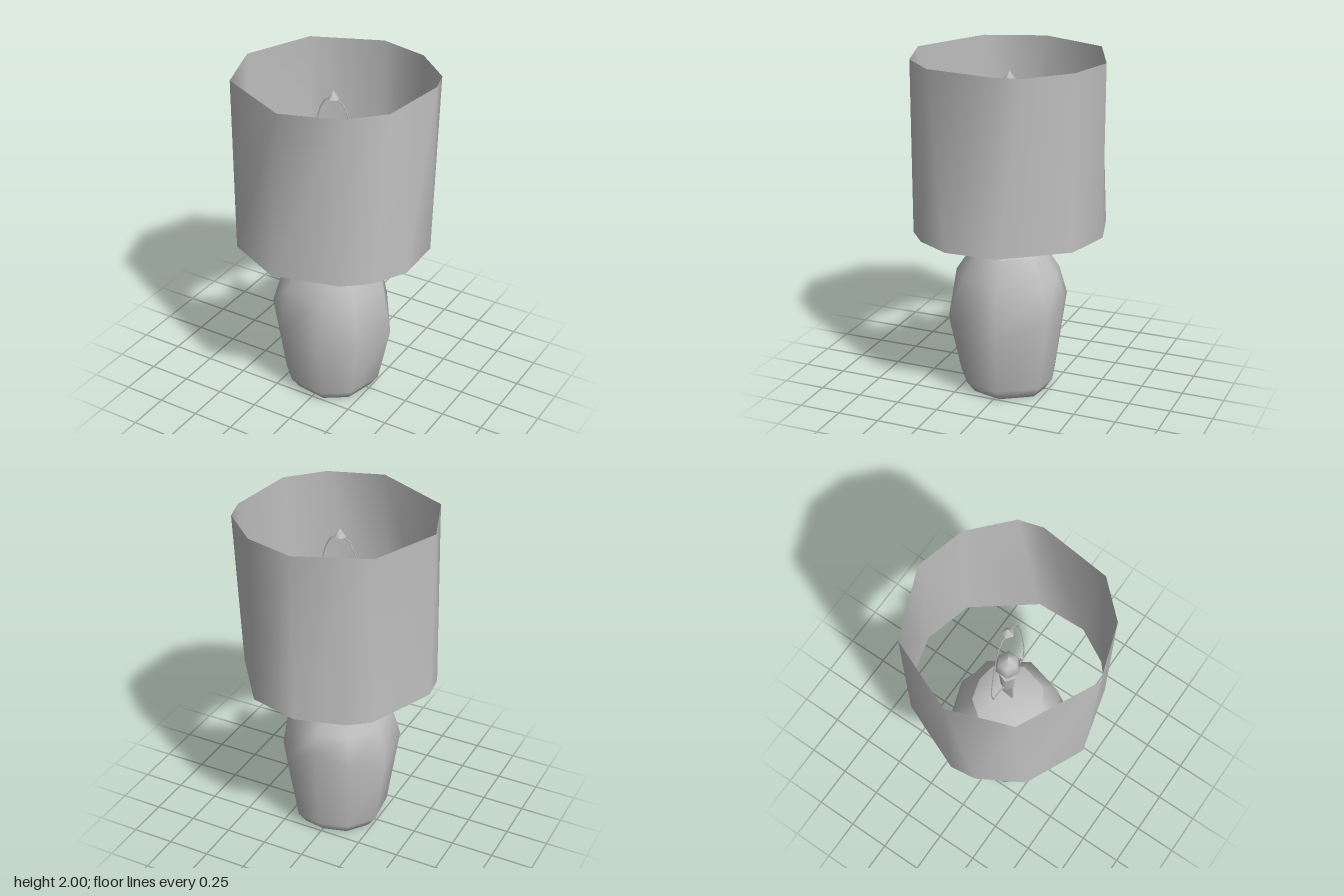
import * as THREE from 'three';
import { mergeVertices } from 'three/addons/utils/BufferGeometryUtils.js';

// Skin a list of equal-length rings (bottom to top, counterclockwise from above)
function loft(rings) {
  const n = rings[0].length, index = [];
  for (let r = 0; r < rings.length - 1; r++) {
    for (let i = 0; i < n; i++) {
      const j = (i + 1) % n;
      const a = r * n + i, b = r * n + j, c = (r + 1) * n + j, d = (r + 1) * n + i;
      index.push(a, b, c, a, c, d);
    }
  }
  const g = new THREE.BufferGeometry();
  g.setAttribute('position', new THREE.Float32BufferAttribute(rings.flat(2), 3));
  g.setIndex(index);
  const merged = mergeVertices(g, 1e-4);
  // drop triangles that collapsed where corners coincide
  const old = merged.index.array, kept = [];
  for (let k = 0; k < old.length; k += 3) {
    const [a, b, c] = [old[k], old[k + 1], old[k + 2]];
    if (a !== b && b !== c && a !== c) kept.push(a, b, c);
  }
  merged.setIndex(kept);
  merged.computeVertexNormals();
  return merged;
}

export function createModel() {
  const lamp = new THREE.Group();
  lamp.name = 'tableLamp';
  const grey = new THREE.MeshStandardMaterial({ color: 0xc0c0c0, side: THREE.DoubleSide });
  grey.name = 'plainGrey';

  function add(name, geometry, x = 0, y = 0, z = 0) {
    const mesh = new THREE.Mesh(geometry, grey);
    mesh.name = name;
    mesh.position.set(x, y, z);
    lamp.add(mesh);
    return mesh;
  }

  // Open drum shade: uneven polygon rims, [x, z] at the bottom and top
  const bottomRim = [[0, -0.565], [-0.28, -0.49], [-0.4, -0.4], [-0.565, 0], [-0.545, 0.15],
    [-0.4, 0.4], [-0.06, 0.56], [0.32, 0.46], [0.45, 0.35], [0.56, 0.15], [0.55, -0.15],
    [0.55, -0.15], [0.29, -0.49]];
  const topRim = [[0, -0.565], [-0.4, -0.4], [-0.4, -0.4], [-0.565, 0], [-0.565, 0],
    [-0.44, 0.35], [0, 0.565], [0.32, 0.46], [0.5, 0.27], [0.5, 0.27], [0.55, -0.15],
    [0.51, -0.29], [0.29, -0.49]];
  add('shade', loft([
    bottomRim.map(([x, z]) => [x, 1, z]),
    topRim.map(([x, z]) => [x, 2, z]),
  ]));

  // Faceted vase body: widest outline as [x, height, z]
  const girth = [[0, 0.62, -0.34], [-0.21, 0.55, -0.28], [-0.345, 0.49, -0.1],
    [-0.31, 0.55, 0.18], [-0.18, 0.45, 0.31], [0.1, 0.41, 0.35], [0.29, 0.45, 0.22],
    [0.36, 0.42, -0.05], [0.19, 0.5, -0.31]];
  const ring = (y, s) => girth.map(([x, , z]) => [x * s, y, z * s]);
  add('body', loft([ring(0, 0), ring(0, 0.66), ring(0.07, 0.8), girth, ring(0.72, 0.86), ring(0.86, 0.6)]));

  // Low cone closing the vase
  const apex = girth.map(() => [0, 0.945, -0.05]);
  add('neckCap', loft([ring(0.86, 0.6), apex]));

  // Flat stem, socket and bulb
  add('stem', new THREE.BoxGeometry(0.01, 0.2, 0.07), 0, 1.02, 0);
  add('socket', new THREE.CylinderGeometry(0.05, 0.04, 0.16, 5), 0, 1.18, 0);
  const bulbProfile = [[0.03, 0], [0.075, 0.12], [0.06, 0.2], [0, 0.24]]
    .map(([r, y]) => new THREE.Vector2(r, y));
  add('bulb', new THREE.LatheGeometry(bulbProfile, 6), 0, 1.26, 0);

  // Thin wire harp with a knob on each side
  const wire = new THREE.CatmullRomCurve3([
    [-0.04, 1.14], [-0.14, 1.18], [-0.14, 1.5], [-0.06, 1.84], [0, 1.86],
    [0.06, 1.84], [0.14, 1.5], [0.14, 1.18], [0.04, 1.14],
  ].map(([x, y]) => new THREE.Vector3(x, y, 0)));
  add('harp', new THREE.TubeGeometry(wire, 28, 0.004, 4));
  for (const side of [-1, 1]) {
    add('harpKnob', new THREE.CylinderGeometry(0.01, 0.01, 0.04, 5), side * 0.14, 1.19, 0);
  }

  // Small finial above the harp
  add('finial', new THREE.ConeGeometry(0.035, 0.05, 5), 0, 1.885, 0);
  return lamp;
}
